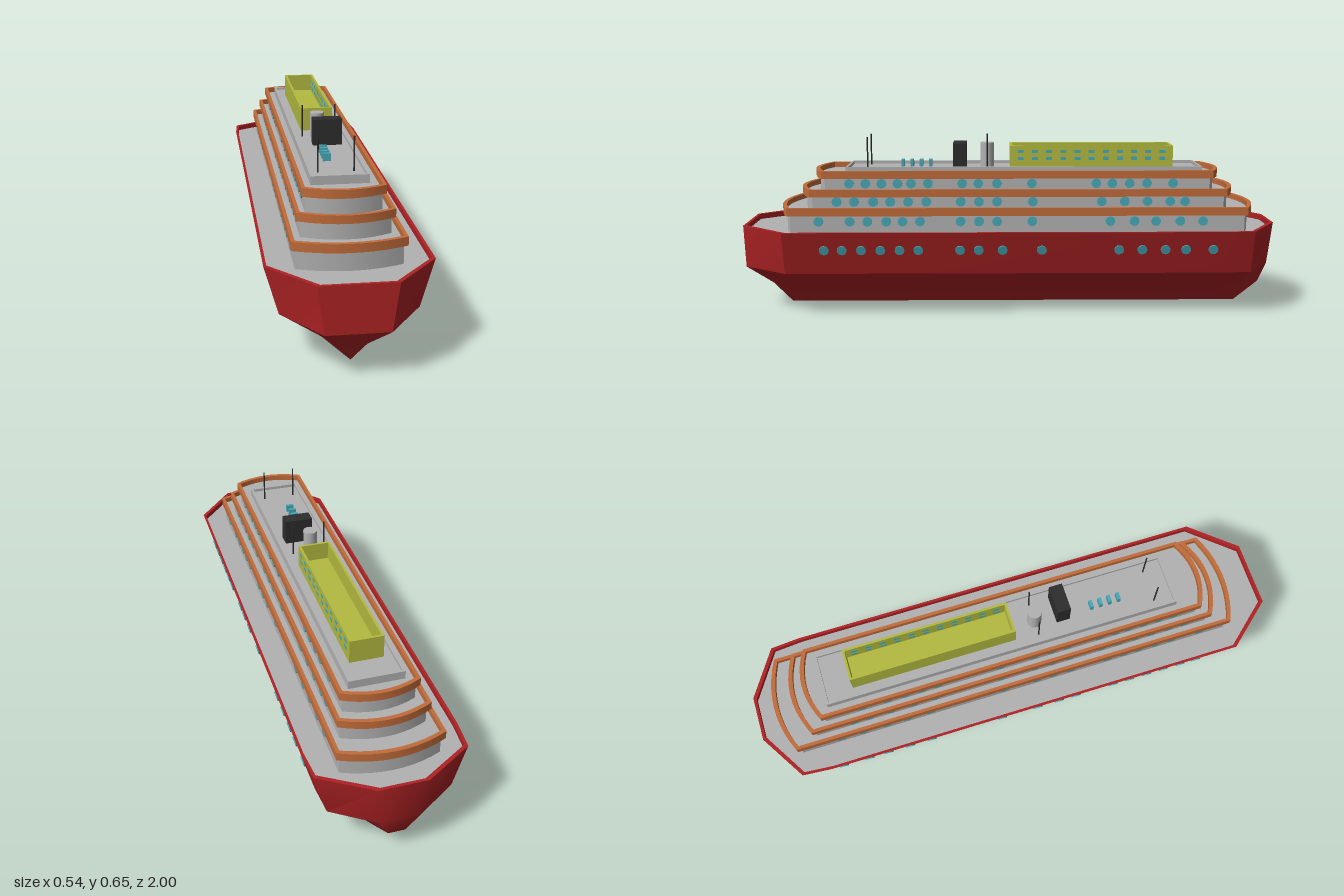
import * as THREE from 'three';
import { toCreasedNormals } from 'three/addons/utils/BufferGeometryUtils.js';

const mat = (name, color, side = THREE.FrontSide) => {
  const m = new THREE.MeshStandardMaterial({ color, side });
  m.name = name;
  return m;
};

export function createModel() {
  const red = mat('hullRed', 0xae2224, THREE.DoubleSide);
  const grey = mat('deckGrey', 0xb2b2b2);
  const orange = mat('railOrange', 0xc26c3a);
  const teal = mat('glassTeal', 0x48a9b8);
  const lime = mat('blockLime', 0xb4ba40);
  const black = mat('funnelBlack', 0x2d2d2d);

  const ship = new THREE.Group();
  ship.name = 'ship';
  const add = (name, geo, material, x = 0, y = 0, z = 0, parent = ship) => {
    const m = new THREE.Mesh(geo, material);
    m.name = name;
    m.position.set(x, y, z);
    parent.add(m);
    return m;
  };
  const box = (name, material, x0, x1, y0, y1, z0, z1, parent = ship) =>
    add(name, new THREE.BoxGeometry(x1 - x0, y1 - y0, z1 - z0), material,
      (x0 + x1) / 2, (y0 + y1) / 2, (z0 + z1) / 2, parent);

  // Hull: half outlines [x, z] from bow to stern at each height
  const top = [[0.125, 1], [0.271, 0.83], [0.271, -0.78], [0.262, -0.89], [0.085, -1]];
  const inner = top.map(([x, z]) => [x - 0.01, z * 0.989]);
  const levels = [
    [0, [[0, 0.85], [0, 0.85], [0, -0.8], [0, -0.88], [0, -0.88]]],
    [0.083, [[0.035, 0.915], [0.093, 0.84], [0.093, -0.8], [0.083, -0.89], [0.03, -0.965]]],
    [0.163, [[0.103, 1], [0.225, 0.83], [0.225, -0.78], [0.216, -0.89], [0.07, -0.985]]],
    [0.325, top],
    [0.325, inner],
    [0.303, inner],
  ];
  const mirror = (half) => [...half, ...half.map(([x, z]) => [-x, z]).reverse()];
  const pos = [], idx = [], n = 10;
  levels.forEach(([y, half], l) => {
    mirror(half).forEach(([x, z], i) => {
      pos.push(x, y, z);
      if (l === levels.length - 1) return;
      const a = l * n + i, b = l * n + (i + 1) % n;
      idx.push(a, b + n, b, a, a + n, b + n);
    });
  });
  const hull = new THREE.BufferGeometry();
  hull.setAttribute('position', new THREE.Float32BufferAttribute(pos, 3));
  hull.setIndex(idx);
  // bow-to-stern loop runs clockwise from above, so turn the faces outward
  const ix = hull.index.array;
  for (let i = 0; i < ix.length; i += 3) [ix[i + 1], ix[i + 2]] = [ix[i + 2], ix[i + 1]];
  add('hull', toCreasedNormals(hull, 0.6), red);

  const deckShape = new THREE.Shape(mirror(inner).map(([x, z]) => new THREE.Vector2(x, -z)));
  add('mainDeck', new THREE.ShapeGeometry(deckShape).rotateX(-Math.PI / 2), grey, 0, 0.305, 0);

  // Rounded-end outline: half width, straight side limits and end apexes
  const outline = (Type, w, zf, zfEnd, zb, zbEnd) => {
    const s = new Type();
    s.moveTo(w, -zf);
    s.lineTo(w, -zb);
    s.quadraticCurveTo(0, -(2 * zbEnd - zb), -w, -zb);
    s.lineTo(-w, -zf);
    s.quadraticCurveTo(0, -(2 * zfEnd - zf), w, -zf);
    return s;
  };
  const slab = (shape, depth) => toCreasedNormals(
    new THREE.ExtrudeGeometry(shape, { depth, bevelEnabled: false, curveSegments: 10 })
      .rotateX(-Math.PI / 2), 0.5);

  // Three stacked tiers, each with an orange railing around a sunken deck
  const tiers = [
    { w: 0.172, y0: 0.303, y1: 0.37, y2: 0.4, z: [0.815, 0.85, -0.87, -0.907] },
    { w: 0.147, y0: 0.375, y1: 0.437, y2: 0.465, z: [0.735, 0.775, -0.795, -0.83] },
    { w: 0.125, y0: 0.44, y1: 0.502, y2: 0.531, z: [0.69, 0.722, -0.745, -0.775] },
  ];
  tiers.forEach(({ w, y0, y1, y2, z: [zf, ff, zb, bb] }, i) => {
    add('tier' + (i + 1), slab(outline(THREE.Shape, w, zf, ff, zb, bb), y2 - 0.02 - y0), grey, 0, y0, 0);
    const rail = outline(THREE.Shape, w + 0.012, zf + 0.01, ff + 0.015, zb - 0.01, bb - 0.016);
    rail.holes.push(outline(THREE.Path, w, zf, ff, zb, bb));
    add('railing' + (i + 1), slab(rail, y2 - y1), orange, 0, y1, 0);
  });

  // Portholes on both sides: height, wall x, wall tilt, positions along z
  const rows = [
    [0.257, 0.252, 0.282, [0.68, 0.615, 0.545, 0.475, 0.405, 0.337, 0.185, 0.117, 0.03, -0.113, -0.395, -0.48, -0.565, -0.64, -0.74]],
    [0.348, 0.172, 0, [0.71, 0.595, 0.53, 0.46, 0.4, 0.335, 0.185, 0.117, 0.05, -0.08, -0.37, -0.46, -0.54, -0.63, -0.715]],
    [0.418, 0.147, 0, [0.645, 0.58, 0.51, 0.447, 0.38, 0.313, 0.185, 0.117, 0.05, -0.083, -0.34, -0.425, -0.51, -0.595, -0.65]],
    [0.483, 0.125, 0, [0.6, 0.54, 0.48, 0.42, 0.37, 0.307, 0.18, 0.12, 0.05, -0.08, -0.32, -0.38, -0.445, -0.51, -0.607]],
  ];
  const portholes = new THREE.Group();
  portholes.name = 'portholes';
  ship.add(portholes);
  const disc = new THREE.CylinderGeometry(0.018, 0.018, 0.009, 12);
  for (const [y, x, tilt, zs] of rows) for (const z of zs) for (const s of [1, -1]) {
    add('porthole', disc, teal, s * x, y, z, portholes).rotation.z = -s * (Math.PI / 2 + tilt);
  }

  // Open-topped rectangular tray: floor plus four walls
  const tray = (name, material, x0, x1, y0, yFloor, y1, z0, z1, t) => {
    const g = new THREE.Group();
    g.name = name;
    ship.add(g);
    box('floor', material, x0 + t, x1 - t, y0, yFloor, z0 + t, z1 - t, g);
    for (const x of [x0, x1 - t]) box('sideWall', material, x, x + t, y0, y1, z0, z1, g);
    for (const z of [z0, z1 - t]) box('endWall', material, x0 + t, x1 - t, y0, y1, z, z + t, g);
    return g;
  };
  tray('topDeck', grey, -0.098, 0.097, 0.505, 0.53, 0.541, -0.72, 0.615, 0.008);

  // Long lime block with windows through its left wall
  const block = tray('cabinBlock', lime, -0.06, 0.06, 0.53, 0.55, 0.616, -0.615, 0, 0.009);
  for (const y of [0.568, 0.594]) for (let i = 0; i < 11; i++) {
    const z = -0.04 - i * 0.0535;
    box('cabinWindow', teal, 0.0495, 0.0615, y - 0.006, y + 0.006, z - 0.011, z + 0.011, block);
  }

  // Deck fittings
  box('funnelHousing', black, -0.04, 0.065, 0.53, 0.625, 0.165, 0.215);
  add('chimney', new THREE.CylinderGeometry(0.026, 0.026, 0.092, 20), grey, -0.01, 0.576, 0.087);
  for (const z of [0.305, 0.34, 0.375, 0.41]) box('skylight', teal, -0.031, -0.003, 0.53, 0.557, z - 0.006, z + 0.006);
  const mast = new THREE.CylinderGeometry(0.0028, 0.0028, 0.12, 8);
  for (const z of [0.087, 0.537]) for (const x of [-0.064, 0.057]) add('mast', mast, black, x, 0.59, z);

  return ship;
}
